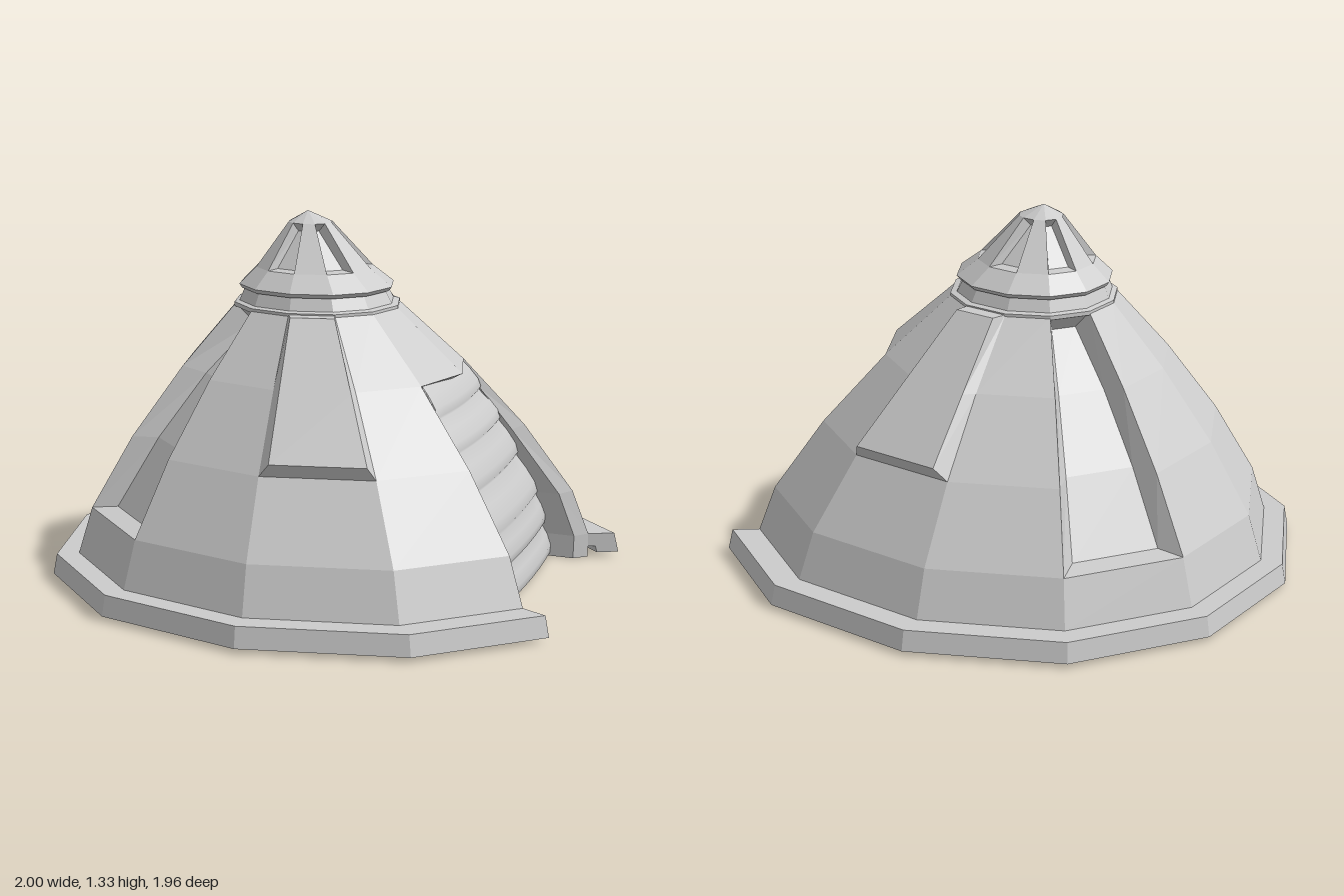
import * as THREE from 'three';
import { mergeVertices } from 'three/addons/utils/BufferGeometryUtils.js';

const facetted = new THREE.MeshStandardMaterial({
  color: 0xcccccc, flatShading: true, side: THREE.DoubleSide,
});
const smooth = new THREE.MeshStandardMaterial({ color: 0xcccccc, side: THREE.DoubleSide });

// Half of the twelve-sided base ring, [x, z] from the axis of the tip
const BASE = [[1.21, 0], [1.06, 0.505], [0.69, 0.85], [0.12, 0.98], [-0.43, 0.85], [-0.81, 0.49], [-0.94, 0]];

// Point i of the ring at height y; rings shrink towards the tip
function ring(s, i, y) {
  const k = i > 6 ? 12 - i : i, side = i > 6 ? -1 : 1;
  const n = Math.min(5, Math.floor(k)), t = k - n;
  const [x, z] = BASE[n].map((v, c) => v + (BASE[n + 1][c] - v) * t);
  return new THREE.Vector3(-0.06 + s * x, y, side * s * z);
}

// Collects quads between rows of points and turns them into a mesh
class Sheet {
  constructor() { this.points = []; }
  quad(a, b, c, d) { this.points.push(a, b, c, a, c, d); }
  strip(low, high) {
    for (let k = 0; k < low.length - 1; k++) this.quad(low[k], low[k + 1], high[k + 1], high[k]);
  }
  rows(rows) {
    for (let j = 0; j < rows.length - 1; j++) this.strip(rows[j], rows[j + 1]);
  }
  mesh(name, material = facetted) {
    let geometry = new THREE.BufferGeometry().setFromPoints(this.points);
    if (material === smooth) geometry = mergeVertices(geometry);
    geometry.computeVertexNormals();
    const mesh = new THREE.Mesh(geometry, material);
    mesh.name = name;
    return mesh;
  }
}

// Plain face between ring points i and i + 1; levels are [scale, y]
const face = (sheet, i, levels) =>
  sheet.rows(levels.map(([s, y]) => [ring(s, (i + 1) % 12, y), ring(s, i, y)]));

// Raised or sunken panel: its own levels are joined to the face's edges
function panel(sheet, i, base, levels, inset) {
  const next = (i + 1) % 12;
  const rows = base.map(([s, y], j) => {
    const [ps, py] = levels[j];
    const a = ring(ps, next, py), b = ring(ps, i, py);
    return [ring(s, next, y), a.clone().lerp(b, inset), b.clone().lerp(a, inset), ring(s, i, y)];
  });
  sheet.rows(rows);
  const [e, f, g, h] = rows[0];
  sheet.quad(h, e, f, g);
  const [p, q, r, t] = rows[rows.length - 1];
  sheet.quad(p, t, r, q);
}

const WALL = [[0.9, 0.09], [0.845, 0.26], [0.685, 0.52], [0.487, 0.775], [0.28, 1.0]];
const SUNKEN = [[0.76, 0.27], [0.595, 0.52], [0.405, 0.75], [0.215, 0.93]];
const RAISED = [[0.715, 0.57], [0.53, 0.78], [0.335, 1.0]];
// Door line behind the doorway, [y, x]
const DOOR = [[0, 0.748], [0.24, 0.705], [0.54, 0.58], [0.8, 0.437]];

// Inner skin of a level, moved in and down along the slope
const inner = ([s, y]) => [s - 0.048 + 0.016 * y, y - 0.03 * y];

// Linear look-up in a table of [y, value]
function lookUp(table, y) {
  const k = Math.max(1, table.findIndex(([ty]) => ty >= y));
  const [y0, v0] = table[k - 1], [y1, v1] = table[k];
  return v0 + (v1 - v0) * (y - y0) / (y1 - y0);
}

function hull() {
  const sheet = new Sheet();
  for (const skin of [(level) => level, inner]) {
    const wall = WALL.map(skin), sunken = SUNKEN.map(skin), raised = RAISED.map(skin);
    for (let i = 0; i < 12; i++) {
      if (i === 0 || i === 11) face(sheet, i, wall.slice(3));
      else if (i === 4 || i === 7) {
        face(sheet, i, wall.slice(0, 2));
        panel(sheet, i, wall.slice(1), sunken, 0.1);
      } else if (i === 2 || i === 9) {
        face(sheet, i, wall.slice(0, 3));
        panel(sheet, i, wall.slice(2), raised, 0.1);
      } else face(sheet, i, wall);
    }
  }
  // Lintel under the edge above the doorway
  const arc = [11, 0, 1], [s, y] = inner(WALL[3]);
  sheet.strip(arc.map((i) => ring(WALL[3][0], i, WALL[3][1])), arc.map((i) => ring(s, i, y)));
  return sheet.mesh('hullShell');
}

// Bevelled jambs, carried back to the shutter on both sides
function jambs() {
  const sheet = new Sheet();
  for (const [edge, back] of [[1, 0.96], [11, 11.04]]) {
    sheet.rows([[0.9, 0], ...WALL.slice(0, 4)].map((level) => {
      const [s, y] = inner(level);
      const corner = ring(s, back, y);
      return [ring(level[0], edge, level[1]), corner,
        new THREE.Vector3(lookUp(DOOR, y), y, corner.z)];
    }));
  }
  return sheet.mesh('doorJambs');
}

// Flange round the foot, open at the doorway, with a step underneath
function flange() {
  const sheet = new Sheet();
  const profile = [[0.852, 0.09], [0.852, 0.04], [0.925, 0.04], [0.93, 0.016],
    [1, 0.016], [0.985, 0.09], [0.9, 0.09]];
  for (let i = 1; i < 11; i++) face(sheet, i, profile);
  for (const i of [1, 11]) {
    const p = profile.map(([s, y]) => ring(s, i, y));
    sheet.quad(p[0], p[1], p[2], p[6]);
    sheet.quad(p[6], p[2], p[4], p[5]);
    sheet.points.push(p[2], p[3], p[4]);
  }
  return sheet.mesh('footFlange');
}

// Shutter made of softly bulging slats, slightly bowed across the doorway
function shutter() {
  const sheet = new Sheet();
  const width = [[0, 0.415], [0.09, 0.415], [0.26, 0.39], [0.52, 0.312], [0.8, 0.225]];
  const joints = [0, 0.12, 0.24, 0.4, 0.54, 0.66, 0.78];
  const rows = [];
  for (let j = 0; j < joints.length - 1; j++) {
    for (const [t, bulge] of [[0, 0], [0.1, 0.012], [0.35, 0.02], [0.7, 0.013], [1, 0]]) {
      if (j > 0 && t === 0) continue;
      const y = joints[j] + (joints[j + 1] - joints[j]) * t;
      const w = lookUp(width, y), row = [];
      for (let k = 0; k <= 8; k++) {
        const u = 1 - k / 4;
        row.push(new THREE.Vector3(lookUp(DOOR, y) + bulge + 0.02 * (1 - u * u), y, u * w));
      }
      rows.push(row);
    }
  }
  sheet.rows(rows);
  return sheet.mesh('doorShutter', smooth);
}

// Neck between hull and cap
function collar() {
  const sheet = new Sheet();
  const profile = [[0.235, 0.97], [0.285, 0.99], [0.285, 1.005], [0.265, 1.01], [0.245, 1.055]];
  for (let i = 0; i < 12; i++) face(sheet, i, profile);
  return sheet.mesh('collar');
}

// Pointed cap with a slot in every other face
function cap() {
  const sheet = new Sheet();
  const rim = [[0.22, 1.05], [0.255, 1.055], [0.265, 1.07], [0.2, 1.13]];
  const slope = [[0.2, 1.13], [0.075, 1.29]];
  const slot = [[0.158, 1.135], [0.05, 1.26]];
  for (let i = 0; i < 12; i++) {
    face(sheet, i, rim);
    if (i % 2) panel(sheet, i, slope, slot, 0.05);
    else face(sheet, i, slope);
    face(sheet, i, [[0.075, 1.29], [0, 1.33]]);
  }
  return sheet.mesh('cap');
}

export function createModel() {
  const model = new THREE.Group();
  model.name = 'conicalHut';
  model.add(hull(), jambs(), flange(), shutter(), collar(), cap());
  return model;
}
